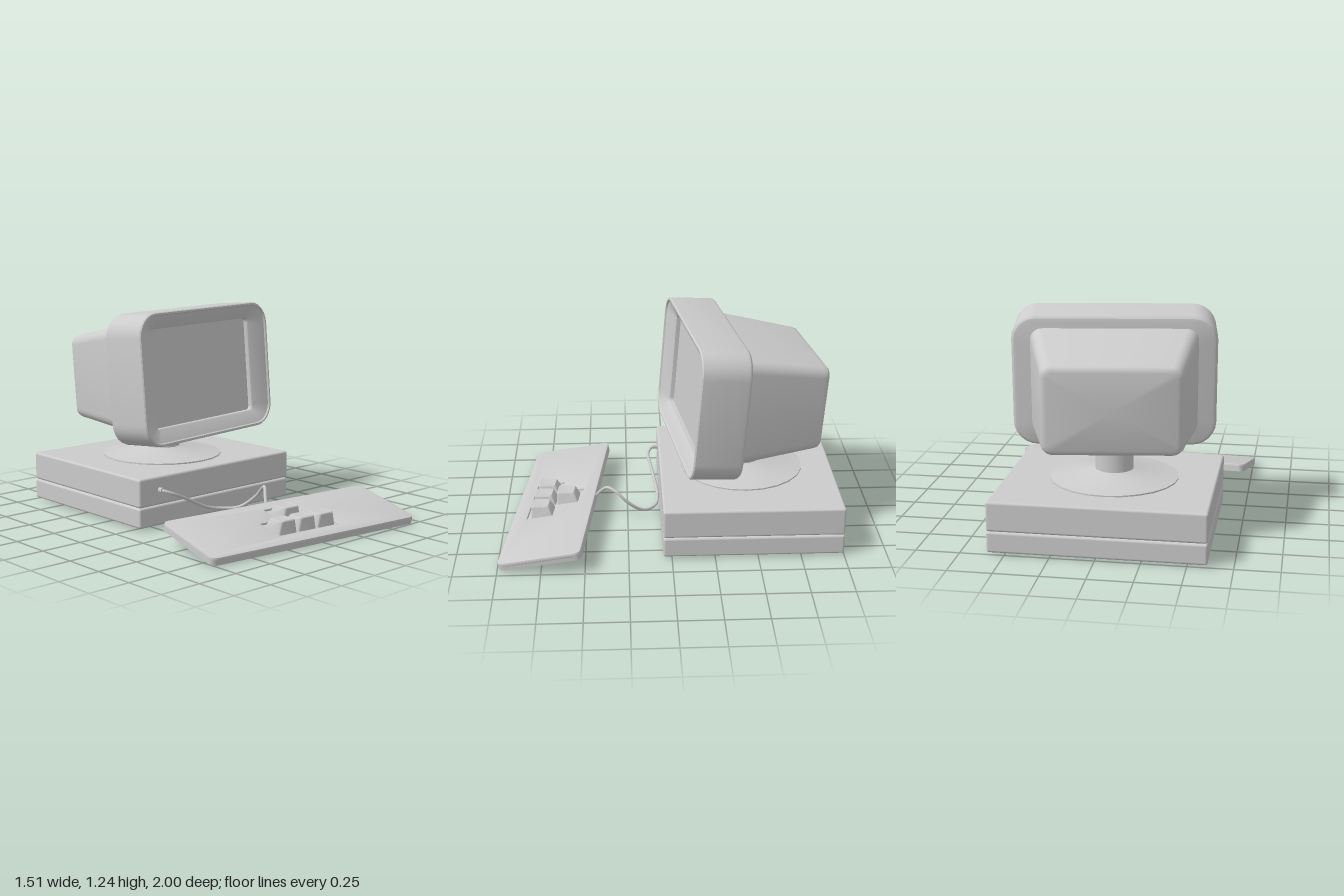
import * as THREE from 'three';
import { toCreasedNormals } from 'three/addons/utils/BufferGeometryUtils.js';
import { RoundedBoxGeometry } from 'three/addons/geometries/RoundedBoxGeometry.js';

const grey = new THREE.MeshStandardMaterial({ color: 0xcccccc, side: THREE.DoubleSide });

function add(parent, name, geometry, x = 0, y = 0, z = 0) {
  const mesh = new THREE.Mesh(geometry, grey);
  mesh.name = name;
  mesh.position.set(x, y, z);
  parent.add(mesh);
  return mesh;
}

// Counter-clockwise rounded rectangle
function roundedRect(w, h, r, steps = 6) {
  const points = [];
  for (let q = 0; q < 4; q++) {
    const cx = (q === 0 || q === 3 ? 1 : -1) * (w / 2 - r);
    const cy = (q < 2 ? 1 : -1) * (h / 2 - r);
    for (let i = 0; i <= steps; i++) {
      const a = (q + i / steps) * Math.PI / 2;
      points.push(new THREE.Vector2(cx + r * Math.cos(a), cy + r * Math.sin(a)));
    }
  }
  return points;
}

// Skin through rounded rectangles [z, width, height, radius], from back to front
function loft(sections, capEnd = true, crease = 0.5) {
  const positions = [], index = [];
  const n = roundedRect(1, 1, 0.1).length;
  for (const [z, w, h, r] of sections)
    for (const p of roundedRect(w, h, r)) positions.push(p.x, p.y, z);
  for (let i = 0; i < sections.length - 1; i++)
    for (let j = 0; j < n; j++) {
      const k = (j + 1) % n, a = i * n, b = a + n;
      index.push(a + j, a + k, b + k, a + j, b + k, b + j);
    }
  const last = sections.length - 1;
  const first = sections.length * n;
  positions.push(0, 0, sections[0][0], 0, 0, sections[last][0]);
  for (let j = 0; j < n; j++) {
    const k = (j + 1) % n;
    index.push(first, k, j);
    if (capEnd) index.push(first + 1, last * n + j, last * n + k);
  }
  const geometry = new THREE.BufferGeometry();
  geometry.setAttribute('position', new THREE.Float32BufferAttribute(positions, 3));
  geometry.setIndex(index);
  return toCreasedNormals(geometry, crease);
}

function buildComputer(root) {
  const x = -0.005, z = -0.475;
  add(root, 'lowerCase', new RoundedBoxGeometry(1.21, 0.12, 1.05, 3, 0.014), x, 0.073, z);
  add(root, 'caseSeam', new THREE.BoxGeometry(1.18, 0.06, 1.02), x, 0.135, z);
  add(root, 'upperCase', new RoundedBoxGeometry(1.21, 0.17, 1.05, 3, 0.014), x, 0.22, z);

  // Swivel foot and neck
  const profile = [[0, 0.3], [0.37, 0.3], [0.37, 0.313], [0.12, 0.353], [0.11, 0.358], [0.11, 0.56], [0, 0.56]]
    .map(([r, y]) => new THREE.Vector2(r, y));
  add(root, 'swivelStand', toCreasedNormals(new THREE.LatheGeometry(profile, 24), 0.35), -0.02, 0, -0.45);
}

function buildMonitor(root) {
  const monitor = new THREE.Group();
  monitor.name = 'monitor';
  monitor.position.set(0.015, 0.845, -0.205);
  monitor.rotation.set(-0.08, 0.135, 0, 'YXZ');
  root.add(monitor);

  // Front shell: rounded back edge, thin rim, then a sloping bezel down to the screen
  const W = 1.175, H = 0.78;
  add(monitor, 'frontShell', loft([
    [-0.145, W - 0.06, H - 0.06, 0.11],
    [-0.141, W - 0.03, H - 0.03, 0.125],
    [-0.13, W - 0.008, H - 0.008, 0.136],
    [-0.115, W, H, 0.14],
    [0.138, W, H, 0.14],
    [0.145, W - 0.01, H - 0.01, 0.135],
    [0.145, W - 0.03, H - 0.03, 0.125],
    [0.135, W - 0.04, H - 0.04, 0.12],
    [0.1, 0.915, 0.6, 0.035],
    [0.093, 0.9, 0.585, 0.028],
    [0.06, 0.895, 0.58, 0.025],
  ], false));
  add(monitor, 'screen', loft([[0.055, 0.9, 0.585, 0.025], [0.068, 0.9, 0.585, 0.025]]));

  // Tapered tube housing
  add(monitor, 'rearHousing', loft([
    [-0.655, 0.7, 0.44, 0.03],
    [-0.65, 0.735, 0.475, 0.045],
    [-0.638, 0.76, 0.5, 0.055],
    [-0.615, 0.775, 0.515, 0.06],
    [-0.12, 0.965, 0.645, 0.07],
  ]));
}

function buildKeyboard(root) {
  const keyboard = new THREE.Group();
  keyboard.name = 'keyboard';
  keyboard.position.set(-0.005, 0.073, 0.68);
  keyboard.rotation.set(0.2, -0.109, 0, 'YXZ');
  root.add(keyboard);

  // Solid lower plate, and a top plate with a T-shaped key well
  const outline = () => new THREE.Shape(roundedRect(1.475, 0.49, 0.04));
  const plate = new THREE.ExtrudeGeometry(outline(), { depth: 0.032, bevelEnabled: false });
  const top = outline();
  top.holes.push(new THREE.Path([
    [-0.22, -0.155], [0.22, -0.155], [0.22, 0.015], [0.085, 0.015],
    [0.085, 0.16], [-0.085, 0.16], [-0.085, 0.015], [-0.22, 0.015],
  ].map(([x, y]) => new THREE.Vector2(x, y))));
  const cover = new THREE.ExtrudeGeometry(top, {
    depth: 0.015, bevelThickness: 0.007, bevelSize: 0.007, bevelOffset: -0.007, bevelSegments: 2,
  });
  for (const [name, geometry, y] of [['keyboardBase', plate, -0.022], ['keyboardTop', cover, 0.001]]) {
    geometry.rotateX(-Math.PI / 2);
    add(keyboard, name, toCreasedNormals(geometry, 0.5), 0, y, 0);
  }

  // Tapered keycaps whose tops are cut level with the desk
  const cap = loft([
    [0, 0.132, 0.132, 0.014],
    [0.062, 0.106, 0.106, 0.016],
    [0.068, 0.096, 0.096, 0.014],
    [0.066, 0.06, 0.06, 0.01],
  ]).rotateX(-Math.PI / 2);
  const p = cap.attributes.position;
  for (let i = 0; i < p.count; i++)
    if (p.getY(i) > 0.03) p.setY(i, p.getY(i) + 0.2 * p.getZ(i));
  const creased = toCreasedNormals(cap, 0.5);
  for (const [x, z] of [[-0.14, 0.067], [0, 0.067], [0.14, 0.067], [0, -0.073]])
    add(keyboard, 'arrowKey', creased, x + 0.002, 0.01, z);
}

function buildCable(root) {
  const path = [
    [-0.46, 0.225, 0.05], [-0.455, 0.222, 0.085], [-0.41, 0.203, 0.112], [-0.3, 0.155, 0.095],
    [-0.1, 0.062, 0.062], [0, 0.04, 0.08], [0.08, 0.05, 0.155], [0.123, 0.13, 0.255],
    [0.115, 0.19, 0.315], [0.08, 0.207, 0.37], [0.045, 0.17, 0.41], [0.015, 0.115, 0.45],
  ].map((v) => new THREE.Vector3(...v));
  add(root, 'cable', new THREE.TubeGeometry(new THREE.CatmullRomCurve3(path), 80, 0.01, 8));
  add(root, 'cablePlug', toCreasedNormals(new THREE.CylinderGeometry(0.015, 0.015, 0.035, 12).rotateX(Math.PI / 2), 0.6), -0.46, 0.225, 0.06);
}

export function createModel() {
  const root = new THREE.Group();
  root.name = 'desktopComputer';
  buildComputer(root);
  buildMonitor(root);
  buildKeyboard(root);
  buildCable(root);
  return root;
}
